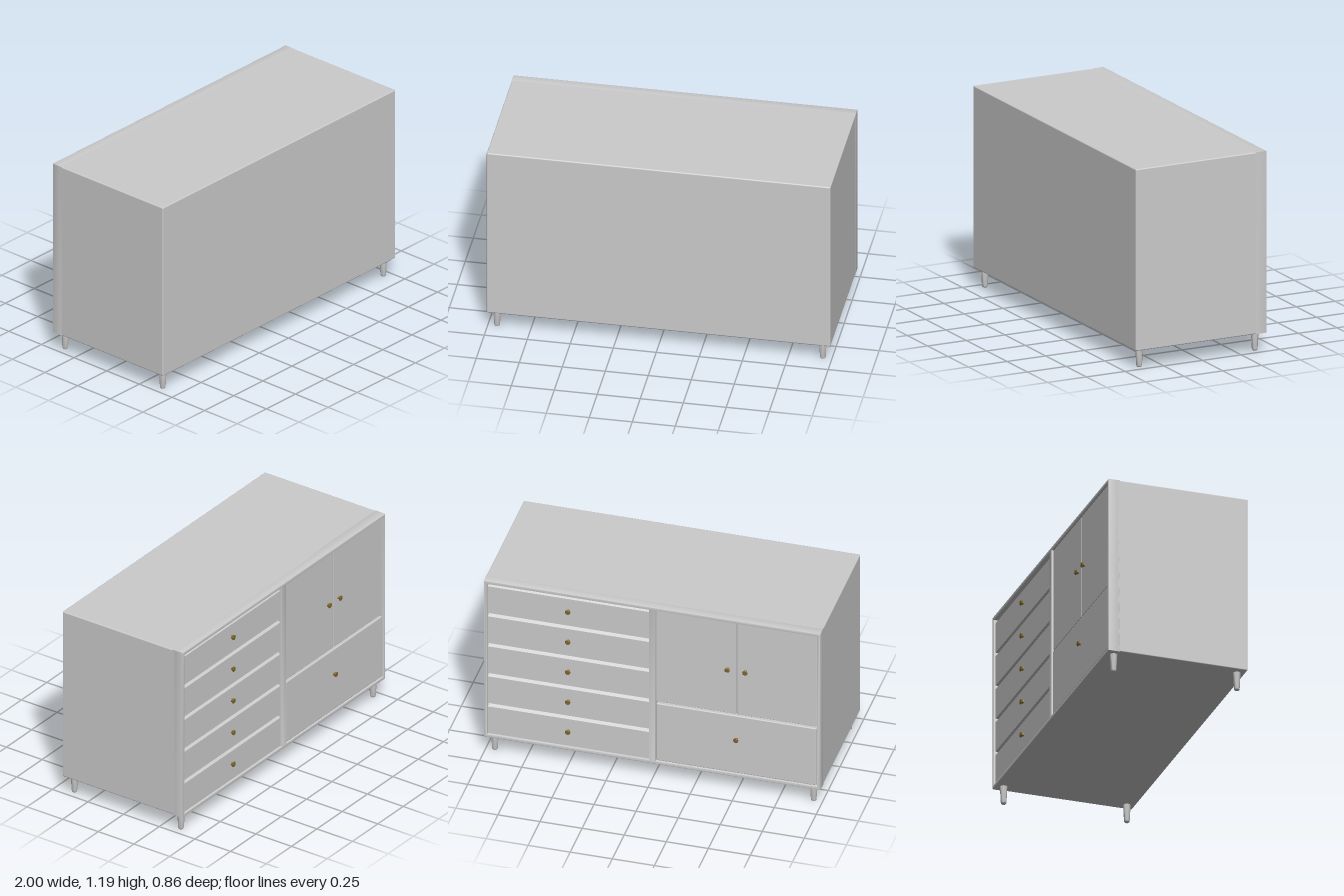
import * as THREE from 'three';
import { RoundedBoxGeometry } from 'three/addons/geometries/RoundedBoxGeometry.js';
import { toCreasedNormals } from 'three/addons/utils/BufferGeometryUtils.js';

const grey = new THREE.MeshStandardMaterial({ color: 0xcccccc });
const brass = new THREE.MeshStandardMaterial({ color: 0x80652a });
const v2 = (x, y) => new THREE.Vector2(x, y);

// Rectangular outline, usable as a shape or as a hole
function rect(x0, y0, x1, y1) {
  return [v2(x0, y0), v2(x1, y0), v2(x1, y1), v2(x0, y1)];
}

function addMesh(parent, name, geometry, material, x = 0, y = 0, z = 0) {
  const mesh = new THREE.Mesh(geometry, material);
  mesh.name = name;
  mesh.position.set(x, y, z);
  parent.add(mesh);
  return mesh;
}

// Box with softened edges, given by its limits
function addPanel(parent, name, [x0, x1], [y0, y1], [z0, z1], radius) {
  const geometry = new RoundedBoxGeometry(x1 - x0, y1 - y0, z1 - z0, 2, radius);
  return addMesh(parent, name, geometry, grey, (x0 + x1) / 2, (y0 + y1) / 2, (z0 + z1) / 2);
}

export function createModel() {
  const model = new THREE.Group();
  model.name = 'sideboard';

  // Solid carcass behind the fronts
  addPanel(model, 'carcass', [-1, 1], [0.11, 1.19], [-0.365, 0.43], 0.007);

  // Surrounding frame with two openings and a centre post
  const bevel = 0.004;
  const outline = new THREE.Shape(rect(-1 + bevel, 0.11 + bevel, 1 - bevel, 1.19 - bevel));
  for (const [x0, x1] of [[-0.98, -0.02], [0.02, 0.98]]) {
    outline.holes.push(new THREE.Path(
      rect(x0 - bevel, 0.13 - bevel, x1 + bevel, 1.17 + bevel).reverse()));
  }
  const frame = new THREE.ExtrudeGeometry(outline, {
    depth: 0.065, bevelSize: bevel, bevelThickness: bevel, bevelSegments: 2,
  });
  addMesh(model, 'frame', toCreasedNormals(frame, 0.6), grey, 0, 0, -0.415 + bevel);

  // Knobs: narrow neck flaring to a domed head, pointing to -z
  const knobGeometry = toCreasedNormals(new THREE.LatheGeometry([
    v2(0.011, -0.004), v2(0.009, 0.003), v2(0.008, 0.007), v2(0.015, 0.012),
    v2(0.016, 0.016), v2(0.013, 0.019), v2(0, 0.02),
  ], 12), 0.7);
  knobGeometry.rotateX(-Math.PI / 2);
  const addKnob = (x, y, z) => addMesh(model, 'knob', knobGeometry, brass, x, y, z);

  // Five drawers, each with a sloped finger lip along its top
  const front = -0.403;
  const pitch = 1.04 / 5;
  const height = pitch - 0.004;
  const profile = new THREE.Shape([
    v2(-0.36, 0), v2(front, 0), v2(front, height - 0.02),
    v2(-0.375, height), v2(-0.36, height),
  ]);
  const drawerGeometry = new THREE.ExtrudeGeometry(profile, { depth: 0.956, bevelEnabled: false });
  // Turn the profile so its width runs along x and its depth along z
  drawerGeometry.translate(0, 0, -0.478);
  drawerGeometry.rotateY(-Math.PI / 2);
  for (let i = 0; i < 5; i++) {
    const y = 0.13 + i * pitch;
    addMesh(model, 'drawer', drawerGeometry, grey, 0.5, y + 0.002, 0);
    addKnob(0.5, y + pitch / 2, front);
  }

  // Pair of doors above a deep drawer
  for (const side of [-1, 1]) {
    const centre = -0.5 + side * 0.24;
    addPanel(model, 'door', [centre - 0.238, centre + 0.238], [0.538, 1.167], [-0.404, -0.35], 0.003);
    addKnob(-0.5 + side * 0.053, 0.842, -0.404);
  }
  addPanel(model, 'deepDrawer', [-0.976, -0.024], [0.134, 0.528], [-0.41, -0.35], 0.006);
  addKnob(-0.5, 0.368, -0.409);

  // Tapered legs with rounded feet
  const legGeometry = toCreasedNormals(new THREE.LatheGeometry([
    v2(0, 0), v2(0.01, 0), v2(0.015, 0.004), v2(0.017, 0.012), v2(0.022, 0.115),
  ], 12), 0.7);
  for (const x of [-0.947, 0.947]) {
    for (const z of [-0.365, 0.382]) addMesh(model, 'leg', legGeometry, grey, x, 0, z);
  }
  return model;
}
